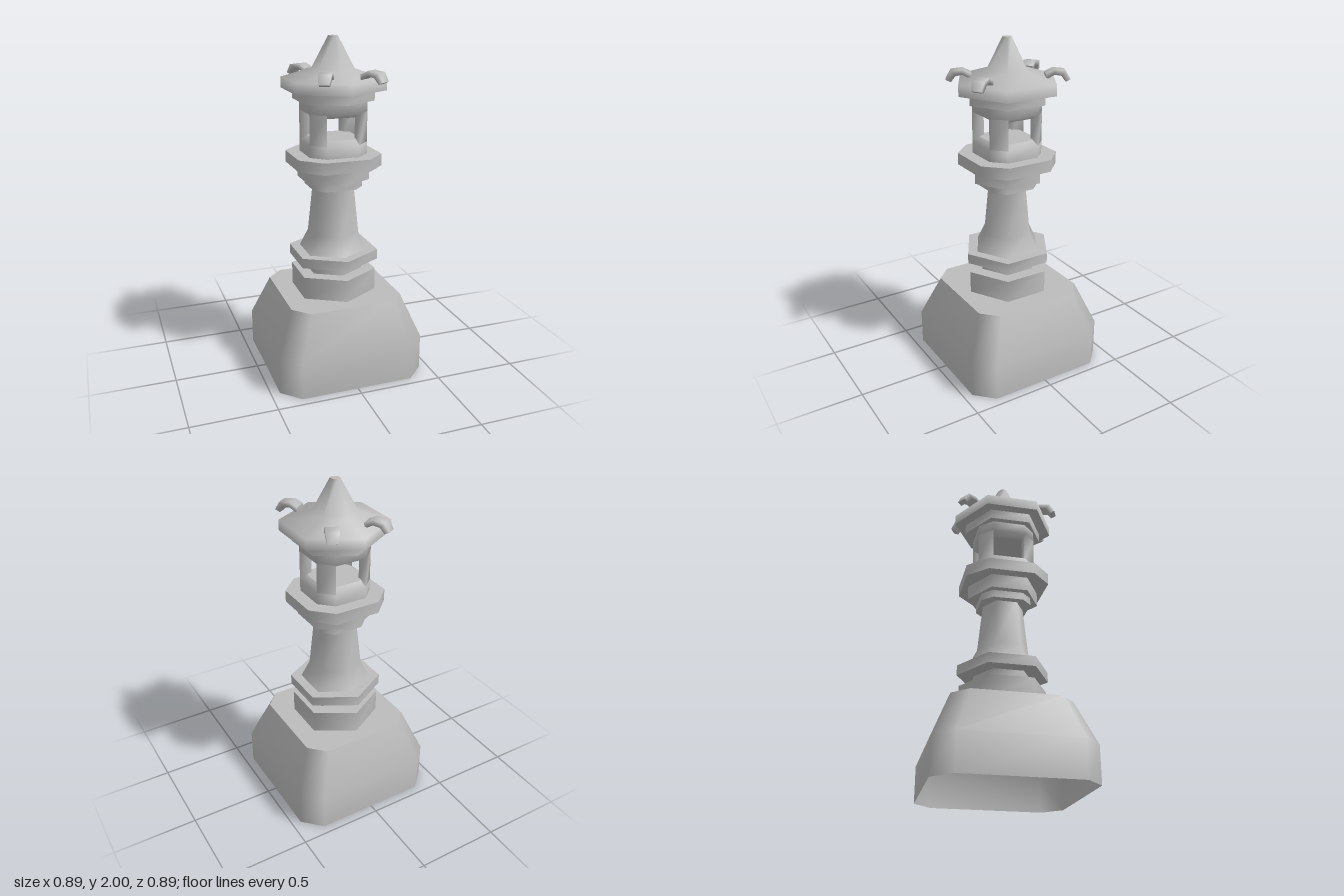
import * as THREE from 'three';

// Skin over cross-sections (arrays of [x, y, z]): smooth around the sides, with flat end caps
function loft(rings, closedStart = true) {
  const n = rings[0].length;
  const last = (rings.length - 1) * n;
  const positions = rings.flat();
  const index = [];
  for (let r = 0; r < rings.length - 1; r++) {
    for (let i = 0; i < n; i++) {
      const a = r * n + i;
      const b = r * n + (i + 1) % n;
      index.push(a, b, b + n, a, b + n, a + n);
    }
  }
  // Caps get their own copies of the rim points
  const end = positions.length;
  positions.push(...positions.slice(last, last + n));
  for (let i = 1; i < n - 1; i++) index.push(end, end + i, end + i + 1);
  if (closedStart) {
    const start = positions.length;
    positions.push(...positions.slice(0, n));
    for (let i = 1; i < n - 1; i++) index.push(start, start + i + 1, start + i);
  }
  const geometry = new THREE.BufferGeometry();
  geometry.setAttribute('position', new THREE.Float32BufferAttribute(positions.flat(), 3));
  geometry.setIndex(index);
  geometry.computeVertexNormals();
  return geometry;
}

// Hexagon with corners to the front and back
function hexagon(radius, y) {
  return Array.from({ length: 6 }, (_, i) => {
    const a = i * Math.PI / 3;
    return [radius * Math.sin(a), y, radius * Math.cos(a)];
  });
}

// Square with cut corners: h is the half width, c the half length of a straight side
function cutSquare(h, c, y) {
  return [[-c, h], [c, h], [h, c], [h, -c], [c, -h], [-c, -h], [-h, -c], [-h, c]]
    .map(([x, z]) => [x, y, z]);
}

export function createModel() {
  const model = new THREE.Group();
  model.name = 'stoneLantern';
  const stone = new THREE.MeshStandardMaterial({ color: 0xbcbcbc, side: THREE.DoubleSide });
  stone.name = 'grey stone';

  const add = (name, rings, closedStart) => {
    const mesh = new THREE.Mesh(loft(rings, closedStart), stone);
    mesh.name = name;
    model.add(mesh);
    return mesh;
  };
  const addHex = (name, profile) => add(name, profile.map(([r, y]) => hexagon(r, y)));
  const addCut = (name, profile, closedStart) =>
    add(name, profile.map(([h, c, y]) => cutSquare(h, c, y)), closedStart);

  // Base, hollow from below, and pedestal
  addCut('base', [[0.447, 0.34, 0], [0.447, 0.34, 0.215], [0.342, 0.25, 0.475]], false);
  addHex('plinth', [[0.26, 0.475], [0.26, 0.61]]);
  addHex('plinthNeck', [[0.176, 0.61], [0.176, 0.675]]);
  addHex('lowerRing', [[0.273, 0.675], [0.273, 0.735]]);
  addHex('column', [[0.208, 0.735], [0.156, 0.84], [0.125, 1.13]]);

  // Platform under the light chamber
  addCut('columnCollar', [[0.15, 0.09, 1.13], [0.15, 0.09, 1.175]]);
  addHex('platformSupport', [[0.217, 1.175], [0.217, 1.26]]);
  addCut('platform', [[0.252, 0.137, 1.26], [0.252, 0.137, 1.33]]);

  // Light chamber: bevelled sill and lintel, with four corner posts between the openings
  addCut('chamberSill', [[0.175, 0.098, 1.33], [0.175, 0.098, 1.4], [0.135, 0.08, 1.425]]);
  addCut('chamberLintel', [[0.135, 0.08, 1.553], [0.175, 0.098, 1.578], [0.175, 0.098, 1.64]]);
  for (let i = 0; i < 4; i++) {
    const section = (y) => [[0.098, y, 0.098], [0.098, y, 0.175], [0.175, y, 0.098]];
    const post = add('chamberPost', [section(1.4), section(1.578)]);
    post.rotation.y = i * Math.PI / 2;
  }

  // Roof
  addHex('eaveSupport', [[0.242, 1.64], [0.242, 1.70]]);
  addHex('roof', [[0.31, 1.70], [0.31, 1.762], [0.125, 1.82], [0.028, 2.0]]);

  // Curled roof ornaments; each station: half width, top edge (z, y), bottom edge (z, y)
  const stations = [
    [0.037, -0.068, 1.803, -0.064, 1.772],
    [0.037, -0.02, 1.826, -0.018, 1.797],
    [0.037, 0.045, 1.818, 0.022, 1.79],
    [0.029, 0.075, 1.768, 0.046, 1.755],
  ];
  const ornament = stations.map(([w, zt, yt, zb, yb]) => [
    [-w, yb, zb], [w, yb, zb], [w, yt, zt], [-w, yt, zt],
  ]);
  const placements = [
    [0.152, 0.247, 0.075, 0.105], [-0.125, 0.238, -0.055, 0.112],
    [0.155, -0.232, 0.055, -0.112], [-0.125, -0.24, -0.075, -0.105],
  ];
  for (const [x, z, dx, dz] of placements) {
    const curl = add('roofOrnament', ornament);
    curl.position.set(x, 0, z);
    curl.rotation.y = Math.atan2(dx, dz);
  }
  return model;
}
